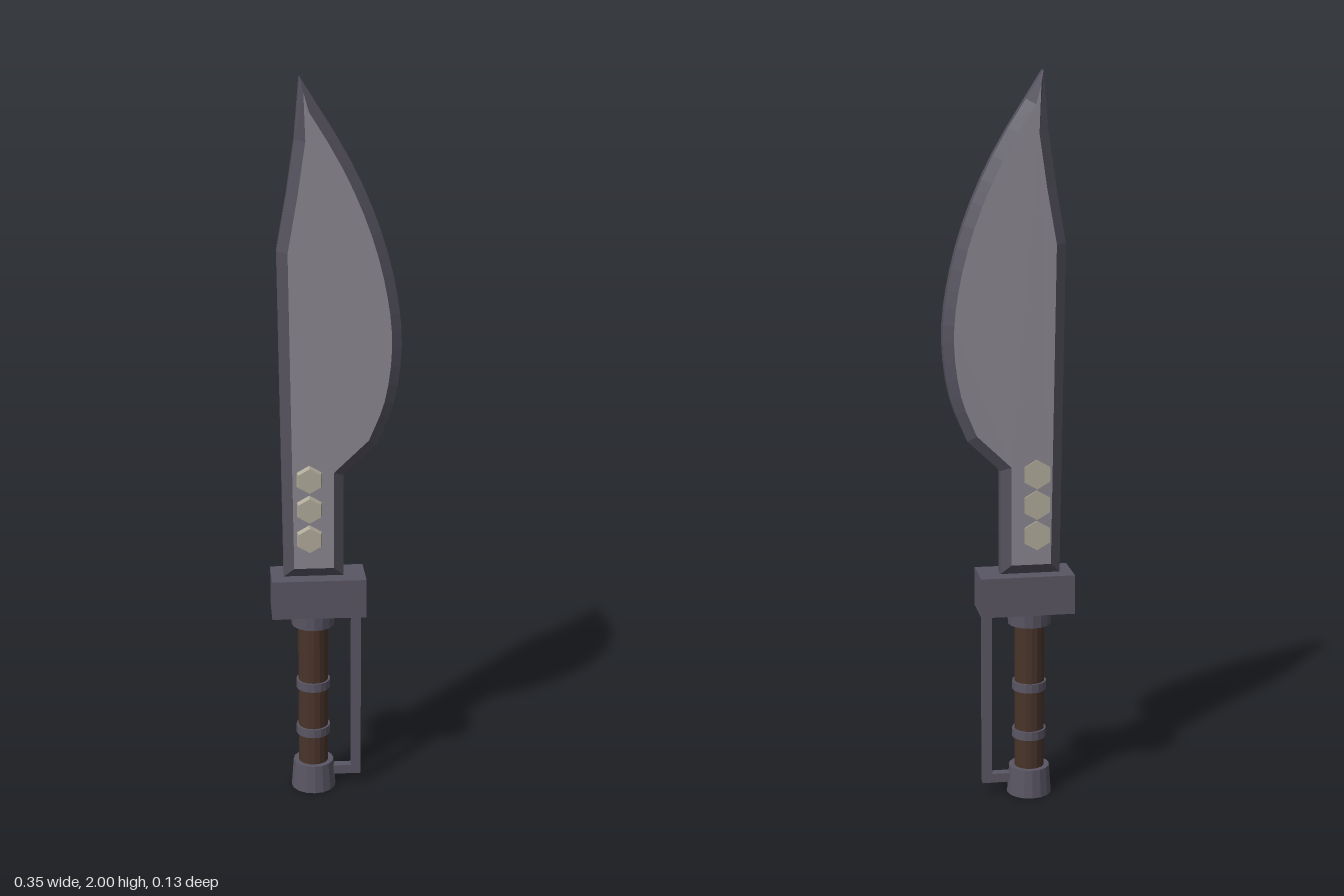
import * as THREE from 'three';

const paint = (color) => new THREE.MeshStandardMaterial({ color, flatShading: true });
const steel = paint(0x5a5664);
const bladeEdge = paint(0x55525e);
const bladeFace = paint(0x8a8690);
const leather = paint(0x49342a);
const brass = paint(0xb0aa9a);

const GRIP_X = -0.064;

export function createModel() {
  const model = new THREE.Group();

  const add = (name, geometry, material, x = 0, y = 0, z = 0) => {
    const mesh = new THREE.Mesh(geometry, material);
    mesh.name = name;
    mesh.position.set(x, y, z);
    model.add(mesh);
    return mesh;
  };
  // Box given by its lower and upper limits
  const box = (name, x0, x1, y0, y1, halfZ) =>
    add(name, new THREE.BoxGeometry(x1 - x0, y1 - y0, halfZ * 2), steel, (x0 + x1) / 2, (y0 + y1) / 2);
  // Upright round section on the handle axis
  const round = (name, rTop, rBottom, y0, y1, material) =>
    add(name, new THREE.CylinderGeometry(rTop, rBottom, y1 - y0, 16), material, GRIP_X, (y0 + y1) / 2);

  // Blade: narrow neck, swelling belly and clipped spine, with a bevelled rim
  const belly = new THREE.CatmullRomCurve3([
    [0.11, 1.02], [0.155, 1.135], [0.175, 1.29], [0.162, 1.43],
    [0.118, 1.6], [0.04, 1.78], [-0.095, 2.0],
  ].map(([x, y]) => new THREE.Vector3(x, y, 0)));
  const outline = [
    [-0.145, 0.645], [0.02, 0.645], [0.02, 0.935],
    ...belly.getPoints(18).map((p) => [p.x, p.y]),
    [-0.109, 1.84], [-0.13, 1.7], [-0.157, 1.55],
  ].map(([x, y]) => new THREE.Vector2(x, y));
  const blade = new THREE.ExtrudeGeometry(new THREE.Shape(outline), {
    depth: 0.036, bevelEnabled: true, bevelSegments: 1,
    bevelThickness: 0.019, bevelSize: 0.028, bevelOffset: -0.028,
  });
  blade.translate(0, 0, -0.018);
  add('blade', blade, [bladeFace, bladeEdge]);

  // Hexagonal rivets on both faces of the neck
  const rivet = new THREE.CylinderGeometry(0.035, 0.041, 0.024, 6).rotateX(Math.PI / 2);
  for (const y of [0.76, 0.845, 0.93]) {
    add('frontRivet', rivet, brass, -0.075, y, 0.043);
    add('backRivet', rivet, brass, -0.075, y, -0.045);
  }

  // Cross guard and handle
  box('crossGuard', -0.18, 0.08, 0.535, 0.645, 0.063);
  round('collar', 0.062, 0.06, 0.497, 0.537, steel);
  round('grip', 0.042, 0.042, 0.07, 0.5, leather);
  round('upperBand', 0.048, 0.048, 0.305, 0.33, steel);
  round('lowerBand', 0.048, 0.048, 0.165, 0.19, steel);
  round('pommel', 0.057, 0.063, 0, 0.08, steel);

  // Knuckle guard: an L-shaped square bar from cross guard to pommel
  box('knuckleBar', 0.043, 0.07, 0.034, 0.537, 0.013);
  box('knuckleFoot', -0.03, 0.043, 0.034, 0.06, 0.013);

  return model;
}
